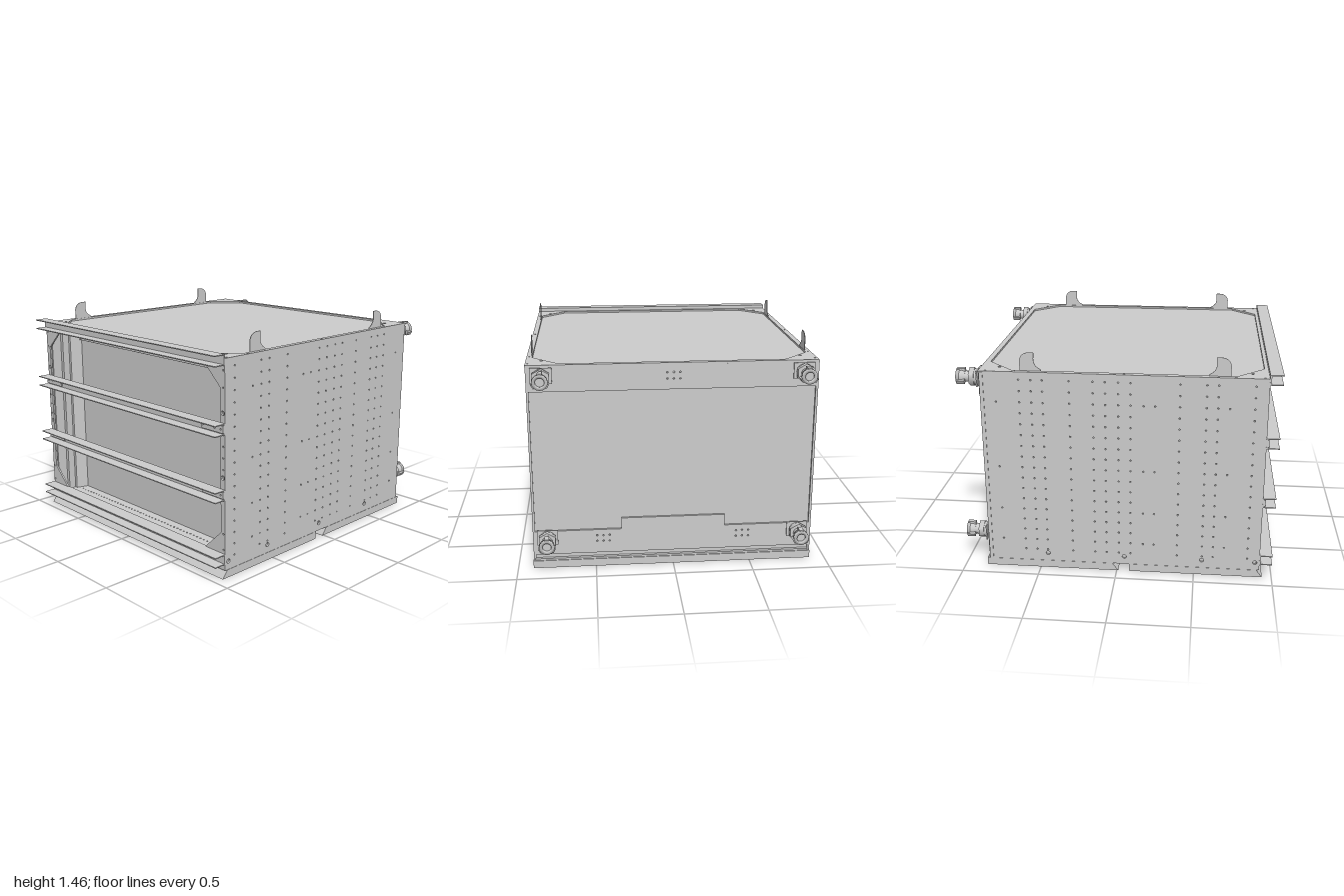
import * as THREE from 'three';

const grey = new THREE.MeshStandardMaterial({ color: 0xcccccc, side: THREE.DoubleSide });

export function createModel() {
  const model = new THREE.Group();
  const add = (name, geo, parent = model) => {
    const m = new THREE.Mesh(geo, grey);
    m.name = name;
    parent.add(m);
    return m;
  };
  // Box given by its limits on each axis
  const box = (name, x0, x1, y0, y1, z0, z1, parent) =>
    add(name, new THREE.BoxGeometry(x1 - x0, y1 - y0, z1 - z0)
      .translate((x0 + x1) / 2, (y0 + y1) / 2, (z0 + z1) / 2), parent);
  const poly = (pts) => new THREE.Shape(pts.map((p) => new THREE.Vector2(p[0], p[1])));
  const rect = (a0, a1, b0, b1) => poly([[a0, b0], [a1, b0], [a1, b1], [a0, b1]]);
  const hole = (shape, a, b, r, n = 6) => {
    const pts = [];
    for (let i = 0; i < n; i++) {
      const t = -i / n * Math.PI * 2;
      pts.push(new THREE.Vector2(a + r * Math.cos(t), b + r * Math.sin(t)));
    }
    shape.holes.push(new THREE.Path(pts));
  };
  const cutOctagon = (shape, a0, a1, b0, b1, ca, cb) =>
    shape.holes.push(new THREE.Path([
      [a0 + ca, b0], [a0, b0 + cb], [a0, b1 - cb], [a0 + ca, b1],
      [a1 - ca, b1], [a1, b1 - cb], [a1, b0 + cb], [a1 - ca, b0]].map((p) => new THREE.Vector2(...p))));
  const extrude = (shape, depth) =>
    new THREE.ExtrudeGeometry(shape, { depth, bevelEnabled: false, curveSegments: 10 });
  // Shapes drawn in (z, y), (x, z) or (x, y), extruded between two limits
  const alongX = (name, s, x0, x1) =>
    add(name, extrude(s, x1 - x0).rotateY(-Math.PI / 2).translate(x1, 0, 0));
  const alongY = (name, s, y0, y1) =>
    add(name, extrude(s, y1 - y0).rotateX(Math.PI / 2).translate(0, y1, 0));
  const alongZ = (name, s, z0, z1) => add(name, extrude(s, z1 - z0).translate(0, 0, z0));

  // Base trays with a slanted front edge and a gap between them
  alongX('frontBaseTray', poly([[0.94, 0], [0.905, 0.045], [0.905, 0.05], [0.08, 0.05], [0.08, 0]]), -0.902, 0.902);
  alongX('rearBaseTray', poly([[0.01, 0], [-0.025, 0.045], [-0.025, 0.05], [-0.856, 0.05], [-0.856, 0]]), -0.902, 0.902);

  // Inner body with the shallow stepped recess at the front
  const half = [[0.886, 0.9], [0.865, 0.9], [0.865, 0.83], [0.84, 0.83], [0.84, 0.78], [0.82, 0.78], [0.795, 0.7]];
  const plan = [[0.886, -0.82], ...half, ...half.map(([x, z]) => [-x, z]).reverse(), [-0.886, -0.82]];
  alongY('innerBody', poly(plan), 0.05, 1.325);
  box('innerHeader', -0.82, 0.82, 1.2, 1.31, 0.69, 0.715);
  box('innerLedge', -0.77, 0.77, 1.205, 1.235, 0.715, 0.73);
  box('recessCeiling', -0.87, 0.87, 1.31, 1.325, 0.7, 0.905);
  const floor = rect(-0.87, 0.87, 0.69, 0.905);
  for (let i = -24; i <= 24; i++) hole(floor, i * 0.032, 0.76, 0.006);
  alongY('recessFloor', floor, 0.082, 0.09);

  // Perforated side panels with lower access holes
  const cols = [0.84, 0.62, 0.55, 0.39, 0.09, 0.015, -0.065, -0.14, -0.285, -0.45, -0.52, -0.595];
  for (const side of [-1, 1]) {
    const panel = rect(-0.815, 0.915, 0.05, 1.34);
    for (const z of cols) for (let row = 0; row < 17; row++) hole(panel, z, 1.29 - row * 0.0725, 0.0055);
    for (const z of [0.69, 0.24, 0.17, -0.74]) for (const y of [1.145, 0.71, 0.42, 0.2]) hole(panel, z, y, 0.0055);
    for (const z of [0.89, 0.55, 0.05, -0.45]) hole(panel, z, 0.103, 0.014, 12);
    const x = side * 0.894;
    alongX('sidePanel', panel, x - 0.006, x + 0.006);
    box('rearSideStrip', x - 0.01, x + 0.005, 0.05, 1.335, -0.838, -0.815);
  }

  // Front frame with corner gussets and fixing holes
  const frame = rect(-0.9, 0.9, 0.05, 1.34);
  cutOctagon(frame, -0.865, 0.865, 0.155, 1.295, 0.135, 0.13);
  for (const s of [-1, 1]) {
    for (const y of [1.02, 0.63]) hole(frame, s * 0.883, y, 0.014, 12);
    for (const y of [1.27, 1.17, 0.82, 0.75, 0.68, 0.28, 0.18]) hole(frame, s * 0.886, y, 0.006);
  }
  for (let i = 0; i < 8; i++) hole(frame, -0.8 + i * 1.6 / 7, 0.067, 0.011, 12);
  alongZ('frontFrame', frame, 0.908, 0.92);

  // Top panel and its rim with corner gussets
  box('topPanel', -0.888, 0.888, 1.318, 1.328, -0.815, 0.908);
  const rim = rect(-0.9, 0.9, -0.845, 0.915);
  cutOctagon(rim, -0.865, 0.865, -0.81, 0.895, 0.165, 0.17);
  for (const s of [-1, 1]) {
    for (const z of [-0.73, 0.82]) hole(rim, s * 0.805, z, 0.01, 12);
    for (const z of [-0.8, -0.62, 0.05, 0.72, 0.89]) hole(rim, s * 0.884, z, 0.006);
  }
  alongY('topRim', rim, 1.328, 1.34);

  // Front rails: channels open to the front, the middle ones with end brackets
  for (const [y0, y1, bracketed] of [[1.3, 1.365, false], [0.893, 0.962, true], [0.495, 0.56, true], [0.09, 0.155, false]]) {
    alongX('frontRail', poly([[0.918, y0], [1, y0], [1, y0 + 0.006], [0.928, y0 + 0.006],
      [0.928, y1 - 0.006], [1, y1 - 0.006], [1, y1], [0.918, y1]]), -0.902, 0.902);
    if (!bracketed) continue;
    for (const s of [-1, 1]) {
      const c = s * 0.81;
      const bracket = rect(c - 0.09, c + 0.09, y0 + 0.012, y1 - 0.012);
      for (const d of [-0.08, 0.02, 0.07]) hole(bracket, c + d * s, (y0 + y1) / 2, 0.006);
      alongZ('railBracket', bracket, 0.928, 0.936);
    }
  }

  // Curved lifting hooks, mirrored front to back
  for (const x of [-0.87, 0.87]) {
    for (const dir of [-1, 1]) {
      const z = (d) => 0.05 + dir * d;
      const hook = new THREE.Shape();
      hook.moveTo(z(0.64), 1.32);
      hook.lineTo(z(0.64), 1.405);
      hook.bezierCurveTo(z(0.635), 1.44, z(0.61), 1.456, z(0.57), 1.456);
      hook.lineTo(z(0.552), 1.455);
      hook.bezierCurveTo(z(0.545), 1.43, z(0.575), 1.38, z(0.51), 1.35);
      hook.lineTo(z(0.505), 1.32);
      alongX('liftingHook', hook, x - 0.002, x + 0.002);
    }
  }

  // Back panel with an upper band, a stepped lower plate and a foot lip
  box('backPanel', -0.887, 0.887, 0.05, 1.33, -0.83, -0.818);
  const band = rect(-0.888, 0.888, 1.172, 1.335);
  const lower = poly([[-0.888, 0.09], [0.888, 0.09], [0.888, 0.25], [0.333, 0.25],
    [0.333, 0.325], [-0.333, 0.325], [-0.333, 0.25], [-0.888, 0.25]]);
  for (const i of [-1, 0, 1]) {
    for (const y of [1.24, 1.28]) hole(band, i * 0.04, y, 0.006);
    for (const s of [-1, 1]) for (const y of [0.17, 0.21]) hole(lower, s * 0.45 + i * 0.04, y, 0.006);
  }
  alongZ('backUpperBand', band, -0.845, -0.83);
  alongZ('backLowerPlate', lower, -0.845, -0.83);
  box('backFootLip', -0.888, 0.888, 0.05, 0.062, -0.85, -0.82);

  // Pipe couplings at the four rear corners
  const cyl = (name, r0, r1, z0, z1, n, parent) =>
    add(name, new THREE.CylinderGeometry(r1, r0, z0 - z1, n)
      .rotateX(-Math.PI / 2).translate(0, 0, (z0 + z1) / 2), parent);
  for (const x of [-0.805, 0.805]) {
    for (const y of [1.272, 0.21]) {
      const g = new THREE.Group();
      g.name = 'rearCoupling';
      g.position.set(x, y, 0);
      model.add(g);
      box('couplingPlate', -0.066, 0.066, -0.045, 0.055, -0.866, -0.858, g);
      cyl('couplingStub', 0.03, 0.03, -0.84, -0.86, 16, g);
      cyl('couplingFlange', 0.05, 0.05, -0.866, -0.885, 16, g);
      cyl('couplingNut', 0.06, 0.06, -0.885, -0.918, 6, g);
      cyl('couplingNeck', 0.034, 0.034, -0.918, -0.945, 16, g);
      cyl('couplingCollar', 0.036, 0.046, -0.945, -0.965, 16, g);
      cyl('couplingMouth', 0.044, 0.044, -0.965, -0.985, 16, g);
      add('couplingRing', new THREE.LatheGeometry([[0.028, 0], [0.048, 0], [0.048, 0.02], [0.028, 0.02], [0.028, 0]]
        .map((p) => new THREE.Vector2(...p)), 16).rotateX(-Math.PI / 2).translate(0, 0, -0.98), g);
      // Locking lugs around the mouth
      for (let i = 0; i < 3; i++) {
        const lug = box('couplingLug', -0.014, 0.014, 0.03, 0.054, -0.997, -0.945, g);
        lug.rotation.z = i * Math.PI * 2 / 3;
      }
    }
  }
  return model;
}
